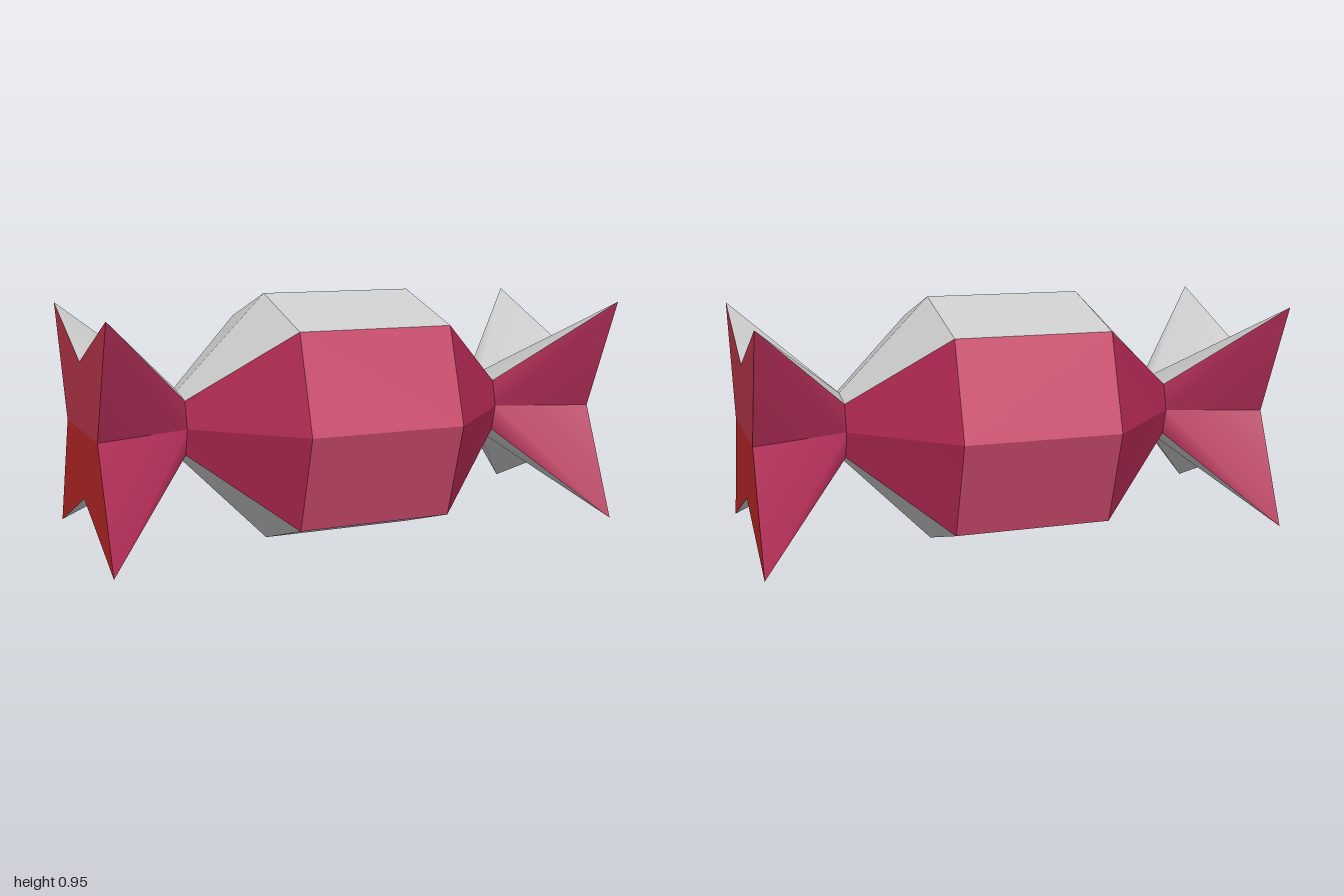
import * as THREE from 'three';

const CY = 0.473; // height of the long axis

// Eight-sided ring: points on the axes at distance a, points on the diagonals at (d, d)
function ring(x, a, d) {
  return Array.from({ length: 8 }, (_, i) => {
    const t = (i * Math.PI) / 4;
    const r = i % 2 ? d * Math.SQRT2 : a;
    return new THREE.Vector3(x, CY + r * Math.cos(t), r * Math.sin(t));
  });
}

function mesh(name, points, index, color) {
  const geometry = new THREE.BufferGeometry().setFromPoints(points);
  geometry.setIndex(index);
  geometry.computeVertexNormals();
  const m = new THREE.Mesh(geometry, new THREE.MeshStandardMaterial({ color }));
  m.name = name;
  return m;
}

// Panels between ring A and ring B (B at higher x) for the chosen sectors, with creases between panels.
// Each splits from the axis point of the narrow ring to the diagonal point of the wide one.
function panels(name, A, B, sectors, narrowIsA, color) {
  const points = [], index = [];
  for (const i of sectors) {
    const j = (i + 1) % 8, n = points.length;
    const split = (i % 2 === 0) === narrowIsA ? [0, 1, 2, 0, 2, 3] : [0, 1, 3, 1, 2, 3];
    points.push(A[i], A[j], B[j], B[i]);
    index.push(...split.map((k) => n + k));
  }
  return mesh(name, points, index, color);
}

// Half of the flat star at the end of a tail, as a fan about its centre, facing along side
function starHalf(name, R, start, side, color) {
  const points = [new THREE.Vector3(R[0].x, CY, 0)], index = [];
  for (let k = 0; k <= 4; k++) points.push(R[(start + k) % 8]);
  for (let k = 1; k <= 4; k++) index.push(0, ...(side > 0 ? [k, k + 1] : [k + 1, k]));
  return mesh(name, points, index, color);
}

export function createModel() {
  const group = new THREE.Group();
  group.name = 'wrappedCandy';

  const red = [1, 2, 5, 6];  // front and back stripes
  const grey = [7, 0, 3, 4]; // top and bottom stripes

  // x, distance on the axes, distance on the diagonals
  const profile = [
    [-1, 0.25, 0.43], [-0.645, 0.125, 0.1], [-0.3, 0.473, 0.36],
    [0.3, 0.473, 0.36], [0.645, 0.125, 0.1], [1, 0.25, 0.43],
  ];
  const rings = profile.map((p) => ring(...p));
  const names = ['rightTail', 'rightShoulder', 'body', 'leftShoulder', 'leftTail'];
  const reds = [0xb8305a, 0xb02850, 0xcc4a6c, 0xb02850, 0xb8305a];

  // Wrapper: tails, shoulders and body, each with two colours of stripe
  names.forEach((name, k) => {
    const A = rings[k], B = rings[k + 1];
    const narrowIsA = profile[k][2] < profile[k + 1][2];
    const part = new THREE.Group();
    part.name = name;
    part.add(
      panels(name + 'RedStripes', A, B, red, narrowIsA, reds[k]),
      panels(name + 'GreyStripes', A, B, grey, narrowIsA, 0xcccccc),
    );
    group.add(part);
  });

  // Star-shaped tail ends
  for (const [name, R, side] of [['rightEnd', rings[0], -1], ['leftEnd', rings[5], 1]]) {
    group.add(
      starHalf(name + 'Upper', R, 6, side, 0xc43a4e),
      starHalf(name + 'Lower', R, 2, side, 0xc42a2a),
    );
  }
  return group;
}
